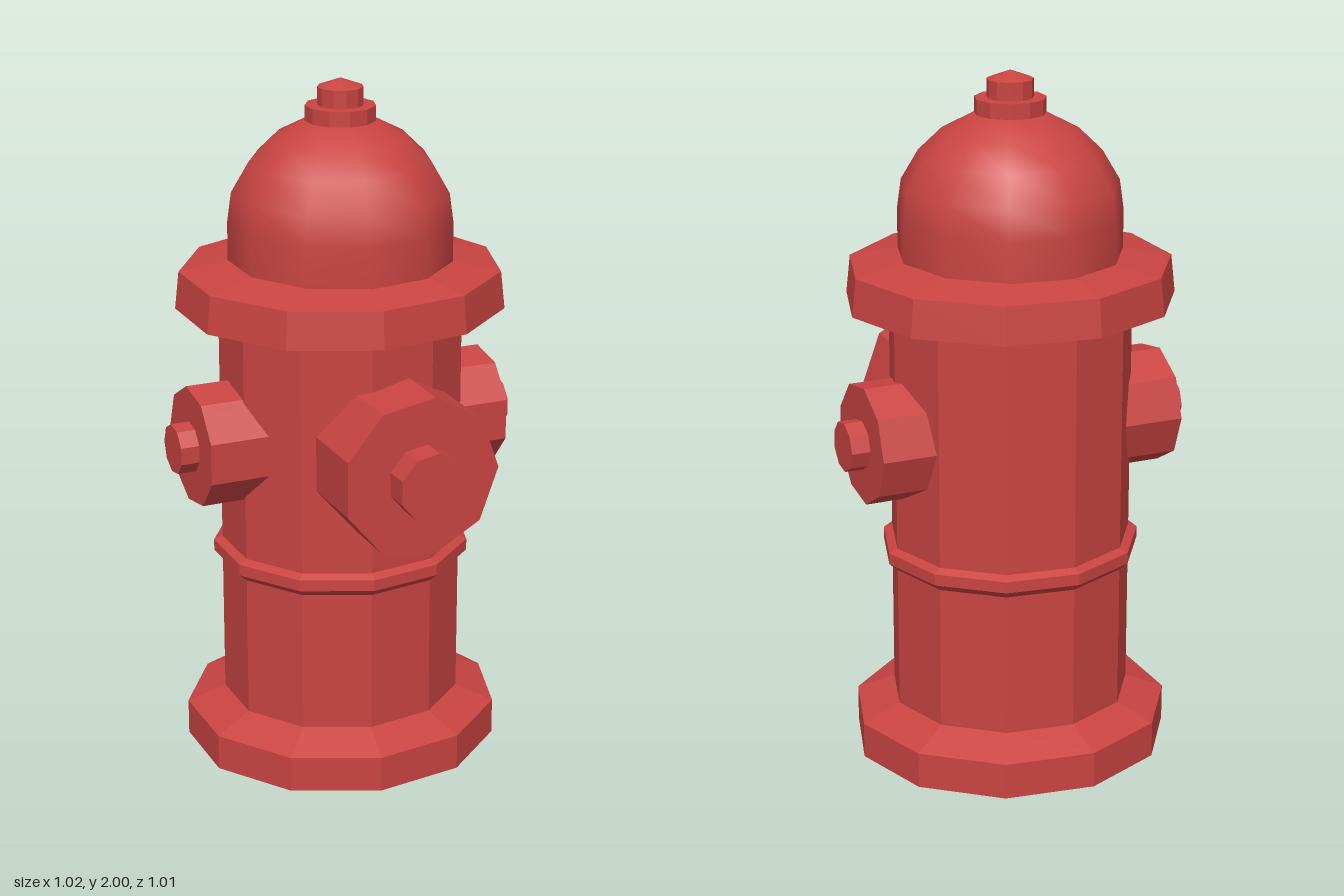
import * as THREE from 'three';

const AXIS_X = 0.004, AXIS_Z = -0.058; // main axis of the hydrant
const SIDES = 11;
const OUTLET_Y = 0.985;

const flat = new THREE.MeshStandardMaterial({ color: 0xc94442, flatShading: true });
const smooth = new THREE.MeshStandardMaterial({ color: 0xc94442 });

// Eleven-sided turned part with a corner towards +x; profile runs bottom to top
function turned(name, profile, depthScale = 1, material = flat) {
  const points = profile.map(([r, y]) => new THREE.Vector2(r, y));
  const mesh = new THREE.Mesh(new THREE.LatheGeometry(points, SIDES, Math.PI / 2), material);
  mesh.name = name;
  mesh.position.set(AXIS_X, 0, AXIS_Z);
  mesh.scale.z = depthScale;
  return mesh;
}

// Nine-sided outlet cap and its nut, built along +y from the hydrant's axis
function outlet(name, capRadius, capEnd, nutRadius, nutEnd, inner, turn) {
  const group = new THREE.Group();
  group.name = name;
  const add = (part, radius, from, to) => {
    const geometry = new THREE.CylinderGeometry(radius, radius, to - from, 9, 1, false, turn);
    const mesh = new THREE.Mesh(geometry, flat);
    mesh.name = part;
    mesh.position.y = (from + to) / 2;
    group.add(mesh);
  };
  add('outletCap', capRadius, inner, capEnd);
  add('outletNut', nutRadius, capEnd - 0.02, nutEnd);
  return group;
}

export function createModel() {
  const model = new THREE.Group();
  model.name = 'fireHydrant';
  const squash = 0.957; // the barrel parts are slightly shallower than wide

  model.add(
    // Foot with a sloped shoulder and faintly bulging underside
    turned('base', [[0, 0.002], [0.15, 0.009], [0.462, 0.02], [0.462, 0.125], [0.345, 0.172]], squash),
    turned('barrel', [[0.35, 0.15], [0.35, 1.35]], squash),
    turned('barrelRing', [[0.345, 0.583], [0.375, 0.61], [0.375, 0.643], [0.345, 0.657]], squash),
    turned('topFlange', [[0.34, 1.333], [0.472, 1.355], [0.46, 1.462], [0.315, 1.49], [0, 1.49]], squash),
    // Bonnet and its operating nut
    turned('dome', [[0.319, 1.475], [0.319, 1.6], [0.307, 1.685], [0.257, 1.77],
      [0.19, 1.835], [0.1, 1.882], [0, 1.9]], 1, smooth),
    turned('topCollar', [[0.1, 1.87], [0.1, 1.925], [0, 1.925]]),
    turned('topNut', [[0.065, 1.915], [0.065, 1.976], [0, 2]]),
  );

  // Large front outlet
  const front = outlet('frontOutlet', 0.234, 0.43, 0.1, 0.505, 0.1, Math.PI / 2);
  front.rotation.x = Math.PI / 2;
  front.position.set(0.032, OUTLET_Y, 0);
  model.add(front);

  // Pair of smaller side outlets
  for (const side of [1, -1]) {
    const name = side > 0 ? 'leftOutlet' : 'rightOutlet';
    const small = outlet(name, 0.173, 0.457, 0.072, 0.511, 0.2, Math.PI);
    small.rotation.z = -side * Math.PI / 2;
    small.position.set(0, OUTLET_Y, AXIS_Z);
    model.add(small);
  }

  return model;
}
